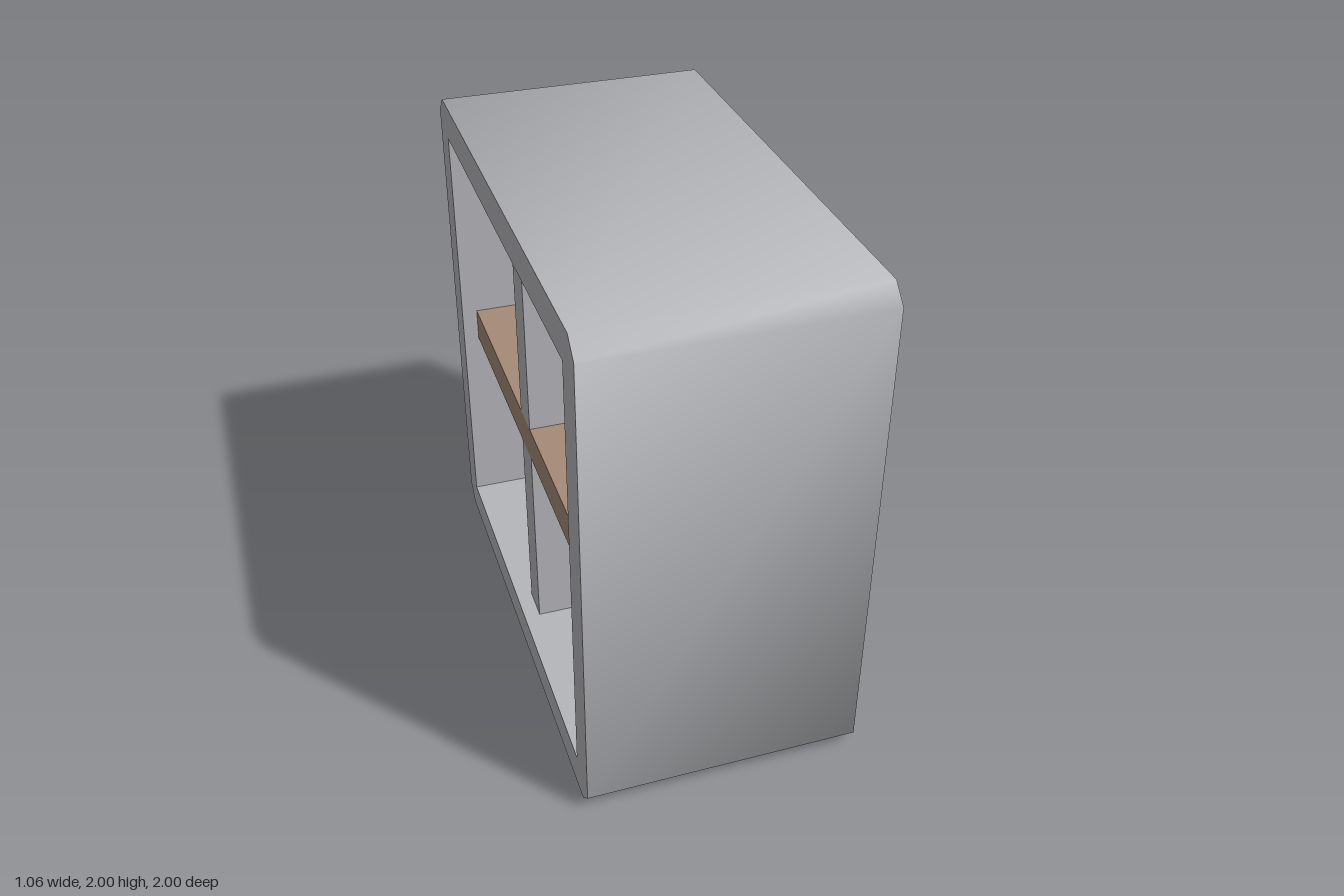
import * as THREE from 'three';
import { toCreasedNormals } from 'three/addons/utils/BufferGeometryUtils.js';

const HALF_WIDTH = 0.528; // half depth of the frame along x
const CHAMFER = 0.065;
const INNER = 0.863; // half size of the square opening
const RECESS = 0.062; // shelf and dividers sit back from the rim
const BOARD = 0.136; // board thickness

export function createModel() {
  const group = new THREE.Group();
  const grey = new THREE.MeshStandardMaterial({ color: 0xb5b6ba });
  grey.name = 'grey frame';
  const brown = new THREE.MeshStandardMaterial({ color: 0xa68a76 });
  brown.name = 'brown wood';

  const add = (name, geometry, material, y) => {
    const mesh = new THREE.Mesh(geometry, material);
    mesh.name = name;
    mesh.position.y = y;
    group.add(mesh);
  };

  // Square tube with chamfered outer corners, open on both sides
  const c = 1 - CHAMFER;
  const outline = new THREE.Shape([
    [c, -1], [1, -c], [1, c], [c, 1], [-c, 1], [-1, c], [-1, -c], [-c, -1],
  ].map(([x, y]) => new THREE.Vector2(x, y)));
  outline.holes.push(new THREE.Path([
    [-INNER, -INNER], [-INNER, INNER], [INNER, INNER], [INNER, -INNER],
  ].map(([x, y]) => new THREE.Vector2(x, y))));
  const tube = new THREE.ExtrudeGeometry(outline, { depth: 2 * HALF_WIDTH, bevelEnabled: false });
  tube.translate(0, 0, -HALF_WIDTH).rotateY(Math.PI / 2);
  // Soft shading across the chamfers, sharp rims and opening
  add('frame', toCreasedNormals(tube, 0.9), grey, 1);

  // Shelf across the middle
  const boardWidth = 2 * (HALF_WIDTH - RECESS);
  add('shelf', new THREE.BoxGeometry(boardWidth, BOARD, 2 * INNER), brown, 1);

  // Upright dividers above and below the shelf
  const height = INNER - BOARD / 2;
  for (const [name, side] of [['upperDivider', 1], ['lowerDivider', -1]]) {
    add(name, new THREE.BoxGeometry(boardWidth, height, BOARD), grey, 1 + side * (BOARD + height) / 2 );
  }
  return group;
}
